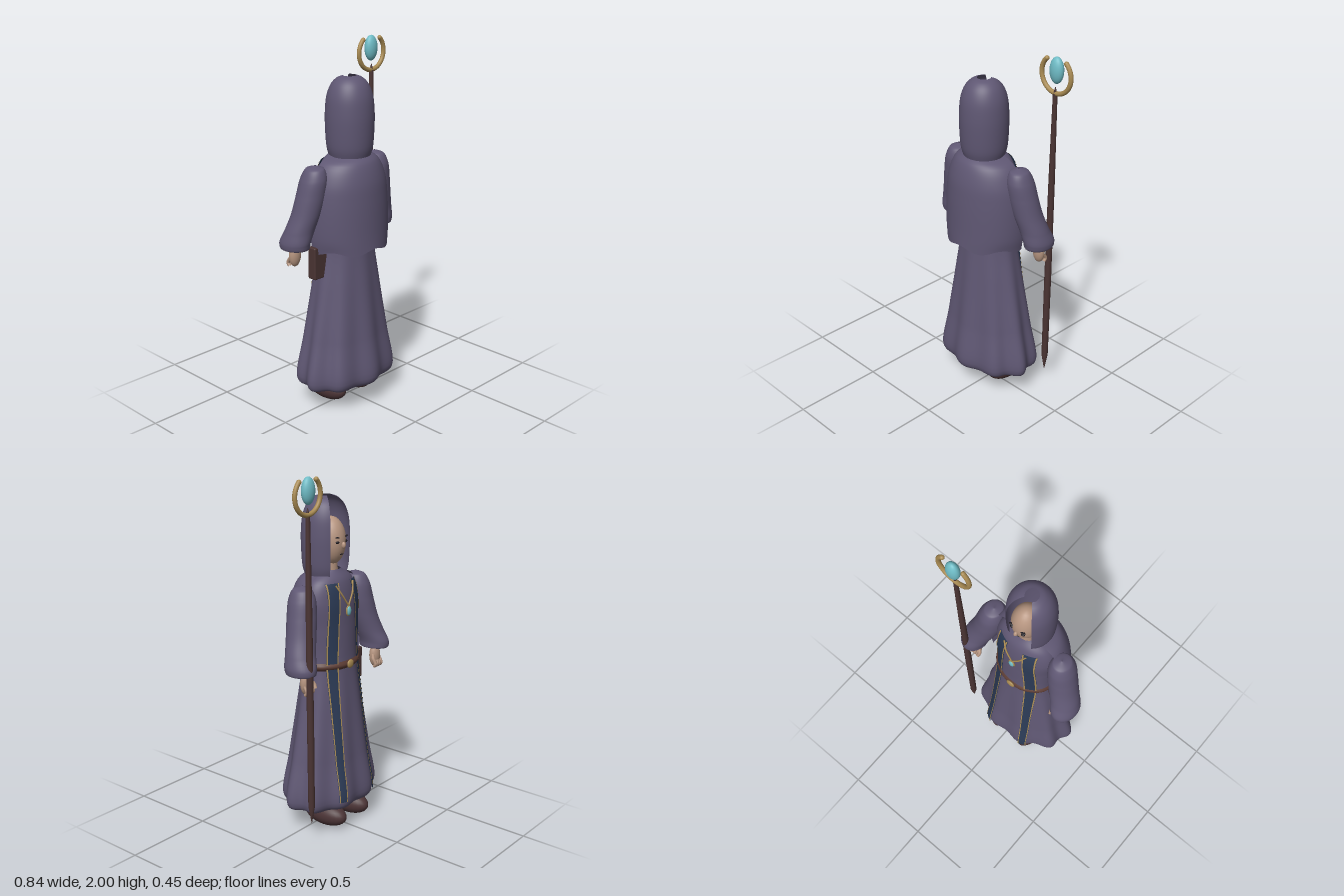
import * as THREE from 'three';
import { ParametricGeometry } from 'three/addons/geometries/ParametricGeometry.js';
import { RoundedBoxGeometry } from 'three/addons/geometries/RoundedBoxGeometry.js';

const CX = -0.03; // body axis; the figure looks toward -z

function material(name, color, side = THREE.FrontSide) {
  const m = new THREE.MeshStandardMaterial({ color, side });
  m.name = name;
  return m;
}

// Smooth profile of rows [halfWidth, y, halfDepth], sampled by row index
function profile(rows) {
  const curve = new THREE.CatmullRomCurve3(rows.map((r) => new THREE.Vector3(...r)), false, 'centripetal');
  return (row) => curve.getPoint(THREE.MathUtils.clamp(row / (rows.length - 1), 0, 1));
}

export function createModel() {
  const group = new THREE.Group();
  const cloth = material('purple cloth', 0x5f5773, THREE.DoubleSide);
  const navy = material('navy stole', 0x2b3a55, THREE.DoubleSide);
  const gold = material('old gold', 0xa88a52, THREE.DoubleSide);
  const gem = material('turquoise gem', 0x6fbcc6);
  const skin = material('skin', 0xb5947f);
  const wood = material('dark wood', 0x4a3433);
  const leather = material('belt leather', 0x5a3b33, THREE.DoubleSide);
  const boots = material('boot leather', 0x4b3436);
  const dark = material('dark features', 0x1d1a20);

  function add(name, geometry, mat, x = 0, y = 0, z = 0) {
    const mesh = new THREE.Mesh(geometry, mat);
    mesh.name = name;
    mesh.position.set(x, y, z);
    group.add(mesh);
    return mesh;
  }
  function ball(name, mat, x, y, z, rx, ry, rz) {
    const mesh = add(name, new THREE.SphereGeometry(1, 28, 18), mat, x, y, z);
    mesh.scale.set(rx, ry, rz);
    return mesh;
  }
  function surface(name, fn, nu, nv, mat) {
    return add(name, new ParametricGeometry((u, v, p) => p.copy(fn(u, v)), nu, nv), mat);
  }
  function tube(name, points, radius, mat) {
    const curve = new THREE.CatmullRomCurve3(points);
    return add(name, new THREE.TubeGeometry(curve, 24, radius, 8), mat);
  }

  // Robe with nine folds that fade out toward the waist; t = 0 is the chest side
  const robeRow = profile([
    [0.02, 0.15, 0.02], [0.27, 0.13, 0.175], [0.303, 0.17, 0.21], [0.263, 0.42, 0.185], [0.212, 0.7, 0.155],
    [0.172, 0.95, 0.13], [0.175, 1.15, 0.122], [0.185, 1.3, 0.115], [0.15, 1.4, 0.095], [0.06, 1.46, 0.055],
  ]);
  const robe = (t, row, off = 0) => {
    const p = robeRow(row);
    const fold = 1 - 0.055 * Math.cos(9 * t) * Math.max(0, 1 - p.y / 1.05) * 1.15;
    return new THREE.Vector3(
      CX + (p.x * fold + off) * Math.sin(t), p.y, -(p.z * fold + off) * Math.cos(t));
  };
  surface('robe', (u, v) => robe(-u * Math.PI * 2, v * 9), 108, 60, cloth);

  // Cape shell over the back
  const capeRow = profile([
    [0.235, 0.93, 0.216], [0.246, 1.0, 0.213], [0.243, 1.2, 0.206], [0.226, 1.31, 0.195],
    [0.18, 1.4, 0.165], [0.09, 1.44, 0.12],
  ]);
  surface('cape', (u, v) => {
    const t = Math.PI + (0.5 - u) * 3.3;
    const p = capeRow(v * 5);
    const hem = 0.012 * Math.cos(6 * t) * (1 - v) ** 6;
    return new THREE.Vector3(CX + p.x * Math.sin(t), p.y + hem, -p.z * Math.cos(t));
  }, 56, 24, cloth);

  // Open-fronted hood with a small gap at the crown
  const hoodProfile = new THREE.SplineCurve([
    [0.112, 1.43], [0.124, 1.48], [0.13, 1.58], [0.13, 1.66], [0.122, 1.74], [0.1, 1.8], [0.068, 1.835], [0.036, 1.848],
  ].map((p) => new THREE.Vector2(...p))).getPoints(32);
  const gap = 0.675;
  add('hood', new THREE.LatheGeometry(hoodProfile, 48, Math.PI + gap, 2 * (Math.PI - gap)), cloth, CX, 0, 0.03);

  // Head and face
  ball('head', skin, CX, 1.61, -0.008, 0.077, 0.13, 0.083);
  add('neck', new THREE.CylinderGeometry(0.04, 0.045, 0.12, 20), skin, CX, 1.47, 0);
  ball('nose', skin, CX, 1.595, -0.092, 0.011, 0.018, 0.014);
  ball('mouth', dark, CX, 1.545, -0.08, 0.014, 0.003, 0.004);

  // Stole panels follow the robe surface, with gold edging
  for (const s of [-1, 1]) {
    const strip = (name, from, to, off, mat) => surface(name, (u, v) => {
      const row = 2.12 + v * 5.9;
      const side = THREE.MathUtils.lerp(from, to, u);
      const dx = THREE.MathUtils.lerp(0.125, 0.08, v) + side * THREE.MathUtils.lerp(0.023, 0.036, v);
      return robe(s * Math.asin(Math.min(0.95, dx / robeRow(row).x)), row, off);
    }, 8, 60, mat);
    strip('stolePanel', -1, 1, 0.009, navy);
    strip('stoleInnerTrim', -0.95, -0.75, 0.012, gold);
    strip('stoleOuterTrim', 0.75, 0.95, 0.012, gold);

    // Eyes and brows
    ball('eye', dark, CX + s * 0.034, 1.612, -0.08, 0.012, 0.007, 0.008);
    const brow = ball('brow', dark, CX + s * 0.036, 1.638, -0.081, 0.016, 0.004, 0.007);
    brow.rotation.z = s * 0.15;

    // Sleeve: rings [dx, y, z, rx, rz] from shoulder to flared cuff, turned in at the end
    const rings = [
      [0.225, 1.405, 0.0, 0.004, 0.004], [0.228, 1.39, 0.0, 0.045, 0.05], [0.233, 1.34, -0.003, 0.068, 0.074],
      [0.245, 1.25, -0.012, 0.08, 0.08], [0.268, 1.15, -0.026, 0.081, 0.08], [0.298, 1.06, -0.046, 0.08, 0.082],
      [0.318, 0.99, -0.063, 0.075, 0.092], [0.315, 0.96, -0.066, 0.068, 0.084], [0.308, 0.97, -0.068, 0.03, 0.035],
    ];
    const axis = profile(rings.map((r) => r.slice(0, 3)));
    const size = profile(rings.map((r) => [r[3], r[1], r[4]]));
    surface('sleeve', (u, v) => {
      const c = axis(v * 8), r = size(v * 8), a = u * Math.PI * 2;
      return new THREE.Vector3(
        CX + s * (c.x + r.x * Math.cos(a)), c.y - 0.25 * r.x * Math.cos(a) * Math.sin(v * Math.PI) * 0.4,
        c.z - s * r.z * Math.sin(a));
    }, 36, 40, cloth);

    // Hand with curled fingers and a thumb
    const hx = CX + s * 0.3;
    ball('palm', skin, hx, 0.91, -0.085, 0.036, 0.065, 0.028);
    for (let i = 0; i < 4; i++) {
      const x = hx + (i - 1.5) * 0.017;
      tube('finger', [
        new THREE.Vector3(x, 0.9, -0.095), new THREE.Vector3(x, 0.865, -0.112), new THREE.Vector3(x, 0.85, -0.1),
      ], 0.009, skin);
    }
    tube('thumb', [
      new THREE.Vector3(hx - s * 0.025, 0.92, -0.09), new THREE.Vector3(hx - s * 0.04, 0.9, -0.105),
      new THREE.Vector3(hx - s * 0.038, 0.875, -0.118),
    ], 0.01, skin);

    // Boot
    ball('boot', boots, CX + s * 0.1, 0.07, -0.055, 0.068, 0.068, 0.14);

    // Half of the pendant chain
    tube('chain', [robe(s * 0.45, 7.9, 0.012), robe(s * 0.25, 7.4, 0.014), robe(0, 6.8, 0.012)], 0.0045, gold);
  }

  // Belt, buckle and pendant
  surface('belt', (u, v) => {
    const t = -u * Math.PI * 2;
    const p = robe(t, 5, 0.004 + 0.012 * Math.sin(v * Math.PI));
    p.y += (v - 0.5) * 0.042;
    return p;
  }, 64, 8, leather);
  ball('buckle', gold, CX, 0.95, -0.145, 0.026, 0.024, 0.01);
  const pendantZ = robe(0, 6.65, 0.01).z;
  ball('pendantSetting', gold, CX, 1.245, pendantZ, 0.021, 0.031, 0.007);
  ball('pendantGem', gem, CX, 1.245, pendantZ - 0.004, 0.016, 0.025, 0.009);

  // Book hanging at the hip
  add('book', new RoundedBoxGeometry(0.11, 0.18, 0.055, 3, 0.008), wood, -0.235, 0.87, 0);

  // Staff, leaning slightly, with a pointed foot
  const staffProfile = [[0.001, 0], [0.018, 0.1], [0.019, 0.6], [0.017, 1.2], [0.012, 1.69], [0.001, 1.73]]
    .map((p) => new THREE.Vector2(...p));
  const staff = add('staff', new THREE.LatheGeometry(staffProfile, 20), wood, 0.288, 0.115, -0.135);
  staff.rotation.z = -0.012;

  // Crescent and floating gem at the staff head
  const arc = THREE.MathUtils.degToRad(276);
  const crescent = add('crescent', new THREE.TorusGeometry(0.097, 0.0125, 12, 48, arc), gold, 0.31, 1.907, -0.137);
  crescent.rotation.z = -Math.PI / 2 - arc / 2;
  for (const s of [-1, 1]) {
    const a = -Math.PI / 2 + s * arc / 2;
    ball('crescentTip', gold, 0.31 + 0.097 * Math.cos(a), 1.907 + 0.097 * Math.sin(a), -0.137, 0.0125, 0.0125, 0.0125);
  }
  ball('staffGem', gem, 0.31, 1.93, -0.14, 0.041, 0.07, 0.031);

  return group;
}
